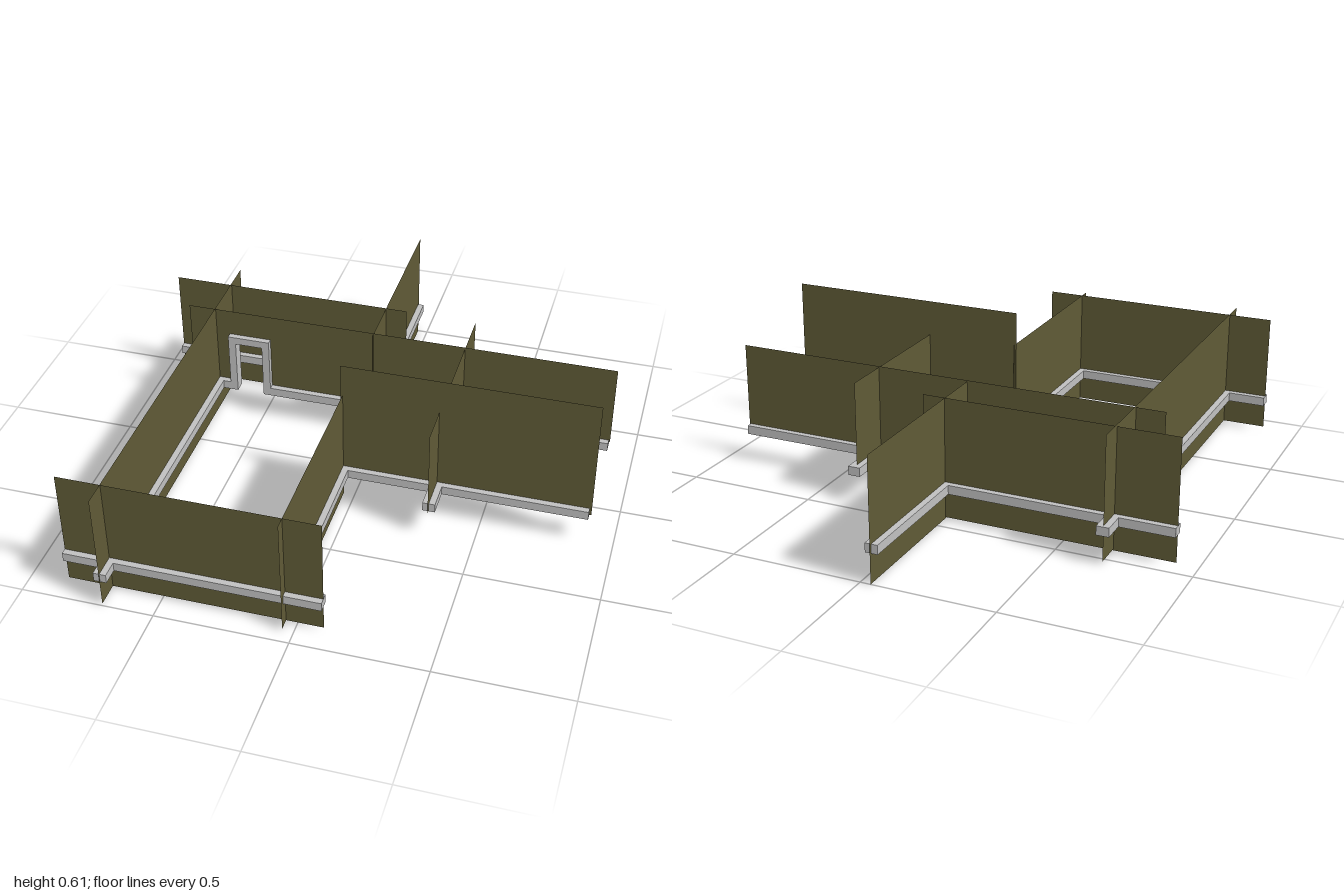
import * as THREE from 'three';

export function createModel() {
  const model = new THREE.Group();
  model.name = 'floorPlanWalls';

  const olive = new THREE.MeshStandardMaterial({ color: 0x5f5a36, side: THREE.DoubleSide });
  olive.name = 'olive wall';
  const grey = new THREE.MeshStandardMaterial({ color: 0xc0c0c0 });
  grey.name = 'grey trim';

  const TRIM = 0.048, LOW = 0.11, HIGH = 0.145;
  const door = { x0: -0.635, x1: -0.465, top: 0.365, bar: 0.03 };

  function add(name, geometry, material) {
    const mesh = new THREE.Mesh(geometry, material);
    mesh.name = name;
    model.add(mesh);
    return mesh;
  }

  // Paper-thin wall; axis is the direction it runs in, at its place on the other axis
  function wall(name, axis, at, a, b, y0, y1, opening) {
    const pts = [[a, y0]];
    if (opening) {
      pts.push([opening.x0, y0], [opening.x0, opening.top], [opening.x1, opening.top], [opening.x1, y0]);
    }
    pts.push([b, y0], [b, y1], [a, y1]);
    const shape = new THREE.Shape(pts.map(([u, v]) => new THREE.Vector2(u, v)));
    const geo = new THREE.ShapeGeometry(shape);
    if (axis === 'x') geo.translate(0, 0, at);
    else geo.rotateY(-Math.PI / 2).translate(at, 0, 0);
    add(name, geo, olive);
  }

  // Square bar running along a wall
  function bar(name, axis, at, a, b, y0 = LOW, y1 = HIGH) {
    const len = b - a, mid = (a + b) / 2, h = y1 - y0;
    const geo = axis === 'x'
      ? new THREE.BoxGeometry(len, h, TRIM).translate(mid, y0 + h / 2, at)
      : new THREE.BoxGeometry(TRIM, h, len).translate(at, y0 + h / 2, mid);
    add(name, geo, grey);
  }

  // name, axis, position, wall start/end, wall bottom/top, trim start/end
  const runs = [
    ['back', 'x', -0.432, -0.92, 0.045, 0.005, 0.47, -0.92, 0.045],
    ['front', 'x', 0.905, -0.86, 0.098, 0.01, 0.475, -0.86, 0.098],
    ['tallSide', 'x', 0.185, -0.048, 0.908, 0.115, 0.605, -0.064, 0.9],
    ['right', 'z', -0.69, -0.54, 1.0, 0.01, 0.478, -0.548, 0.995],
    ['rearCentre', 'z', -0.04, -1.0, -0.23, 0.0, 0.468, -0.99, -0.22],
    ['frontCentre', 'z', -0.04, 0.18, 0.95, 0.01, 0.475, 0.161, 0.929],
    ['left', 'z', 0.325, -0.43, 0.335, 0.11, 0.468, -0.453, 0.318],
  ];
  for (const [name, axis, at, a, b, y0, y1, t0, t1] of runs) {
    wall(name + 'Wall', axis, at, a, b, y0, y1);
    bar(name + 'Trim', axis, at, t0, t1);
  }

  // Long wall with the doorway
  const z = -0.242;
  wall('doorWall', 'x', z, -0.8, 0.912, 0.138, 0.472, door);
  bar('doorWallTrimRight', 'x', z, -0.805, door.x0);
  bar('doorWallTrimLeft', 'x', z, door.x1, 0.907);

  // Door frame
  bar('doorJambRight', 'x', z, door.x0, door.x0 + door.bar, LOW, door.top);
  bar('doorJambLeft', 'x', z, door.x1 - door.bar, door.x1, LOW, door.top);
  bar('doorHead', 'x', z, door.x0 + door.bar, door.x1 - door.bar, door.top - door.bar, door.top);

  return model;
}
